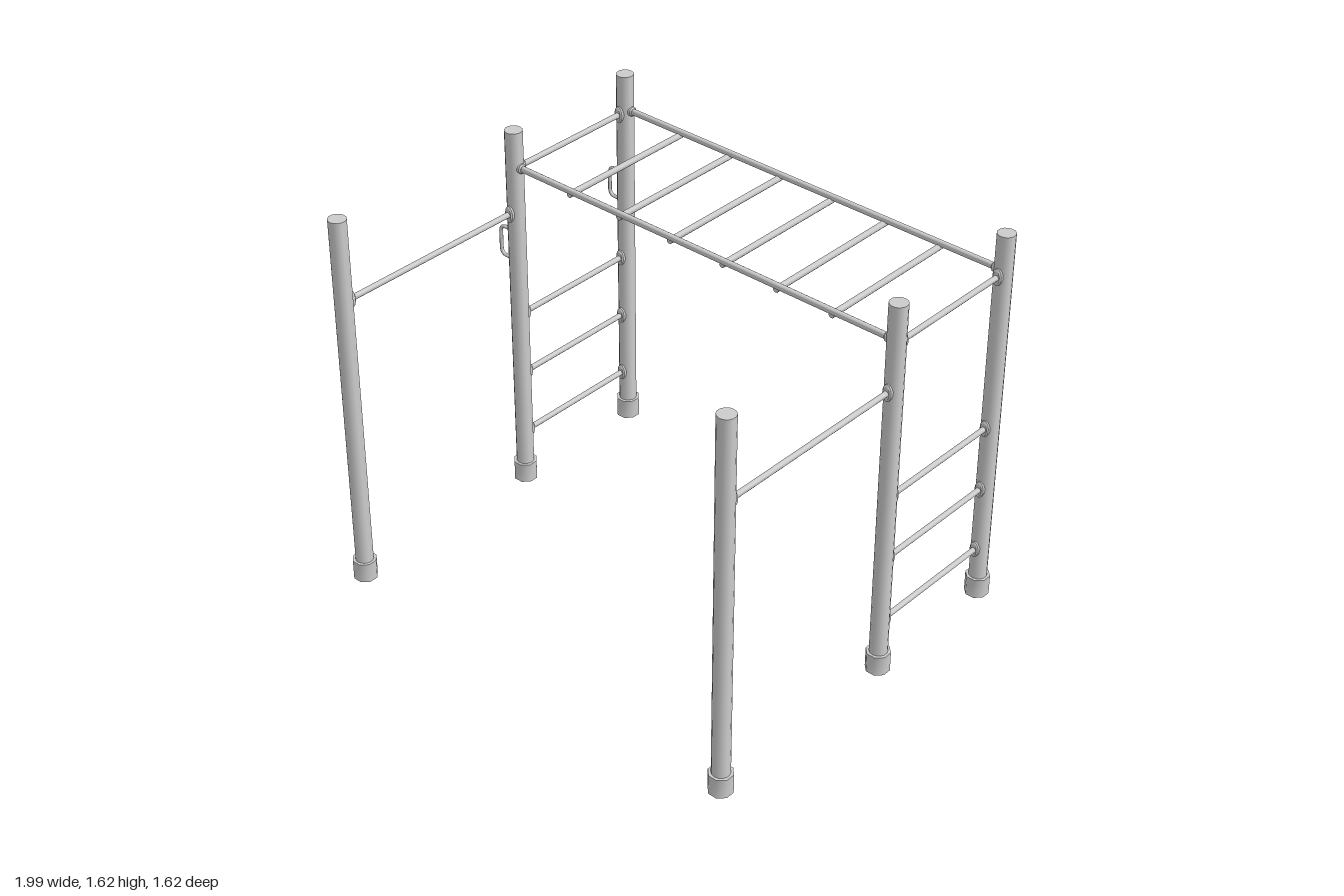
import * as THREE from 'three';
import { toCreasedNormals } from 'three/addons/utils/BufferGeometryUtils.js';

export function createModel() {
  const group = new THREE.Group();
  const material = new THREE.MeshStandardMaterial({ color: 0xcccccc });
  const sides = [-0.905, 0.943];
  const rows = [0.763, -0.137, -0.763];
  const [front, middle, back] = rows;
  const postR = 0.036, height = 1.62;

  function add(name, geometry, x, y, z) {
    const mesh = new THREE.Mesh(geometry, material);
    mesh.name = name;
    mesh.position.set(x, y, z);
    group.add(mesh);
    return mesh;
  }

  // Straight round bar along z or x, centred on its position
  function bar(name, axis, radius, length, x, y, z) {
    const g = toCreasedNormals(new THREE.CylinderGeometry(radius, radius, length, 10), 0.9);
    if (axis === 'z') g.rotateX(Math.PI / 2);
    else g.rotateZ(Math.PI / 2);
    return add(name, g, x, y, z);
  }

  // Oval mounting plate with a bevelled outer rim; dir points away from the post
  function flange(axis, dir, halfWidth, halfHeight, x, y, z) {
    const profile = [[0, -0.012], [1, -0.012], [1, 0.005], [0.75, 0.01], [0, 0.01]]
      .map(p => new THREE.Vector2(...p));
    const g = new THREE.LatheGeometry(profile, 14);
    g.rotateX(Math.PI / 2);
    g.scale(halfWidth, halfHeight, 1);
    const mesh = add('flange', toCreasedNormals(g, 0.5), x, y, z);
    if (axis === 'z') mesh.rotation.y = dir > 0 ? 0 : Math.PI;
    else mesh.rotation.y = dir * Math.PI / 2;
  }

  // Bar across two posts in z, with a plate at each end
  function crossBar(name, x, y, zA, zB) {
    bar(name, 'z', 0.0115, zA - zB - 2 * postR, x, y, (zA + zB) / 2);
    flange('z', -1, 0.02, 0.036, x, y, zA - postR);
    flange('z', 1, 0.02, 0.036, x, y, zB + postR);
  }

  // Six posts with octagonal feet
  for (const x of sides) for (const z of rows) {
    const post = new THREE.CylinderGeometry(postR, postR, height - 0.04, 14);
    add('post', toCreasedNormals(post, 0.9), x, (height + 0.04) / 2, z);
    const foot = new THREE.CylinderGeometry(0.049, 0.049, 0.085, 8);
    foot.rotateY(Math.PI / 8);
    add('foot', toCreasedNormals(foot, 0.9), x, 0.0425, z);
  }

  // Pull-up bars and end ladders
  for (const x of sides) {
    crossBar('pullUpBar', x, 1.266, front, middle);
    for (const y of [0.225, 0.51, 0.79, 1.452]) crossBar('ladderRung', x, y, middle, back);
  }

  // Overhead rails
  const [left, right] = sides;
  for (const z of [middle, back]) {
    bar('overheadRail', 'x', 0.0135, right - left - 2 * postR, (left + right) / 2, 1.465, z);
    flange('x', 1, 0.02, 0.02, left + postR, 1.465, z);
    flange('x', -1, 0.02, 0.02, right - postR, 1.465, z);
  }

  // Overhead rungs, fixed just under the rails
  for (let i = 0; i < 6; i++) {
    bar('overheadRung', 'z', 0.0125, middle - back + 0.01, -0.612 + i * 0.254, 1.45, (middle + back) / 2);
  }

  // Grab handles on the outer face of two posts
  const path = new THREE.CurvePath();
  const v = (x, y) => new THREE.Vector3(x, y, 0);
  path.add(new THREE.LineCurve3(v(0.004, 0.065), v(-0.026, 0.065)));
  path.add(new THREE.QuadraticBezierCurve3(v(-0.026, 0.065), v(-0.053, 0.065), v(-0.053, 0.035)));
  path.add(new THREE.LineCurve3(v(-0.053, 0.035), v(-0.053, -0.035)));
  path.add(new THREE.QuadraticBezierCurve3(v(-0.053, -0.035), v(-0.053, -0.065), v(-0.026, -0.065)));
  path.add(new THREE.LineCurve3(v(-0.026, -0.065), v(0.004, -0.065)));
  for (const z of [middle, back]) {
    const x = left - postR;
    add('grabHandle', new THREE.TubeGeometry(path, 40, 0.0075, 8), x, 1.105, z);
    for (const dy of [-0.065, 0.065]) flange('x', -1, 0.014, 0.018, x + 0.004, 1.105 + dy, z);
  }

  return group;
}
